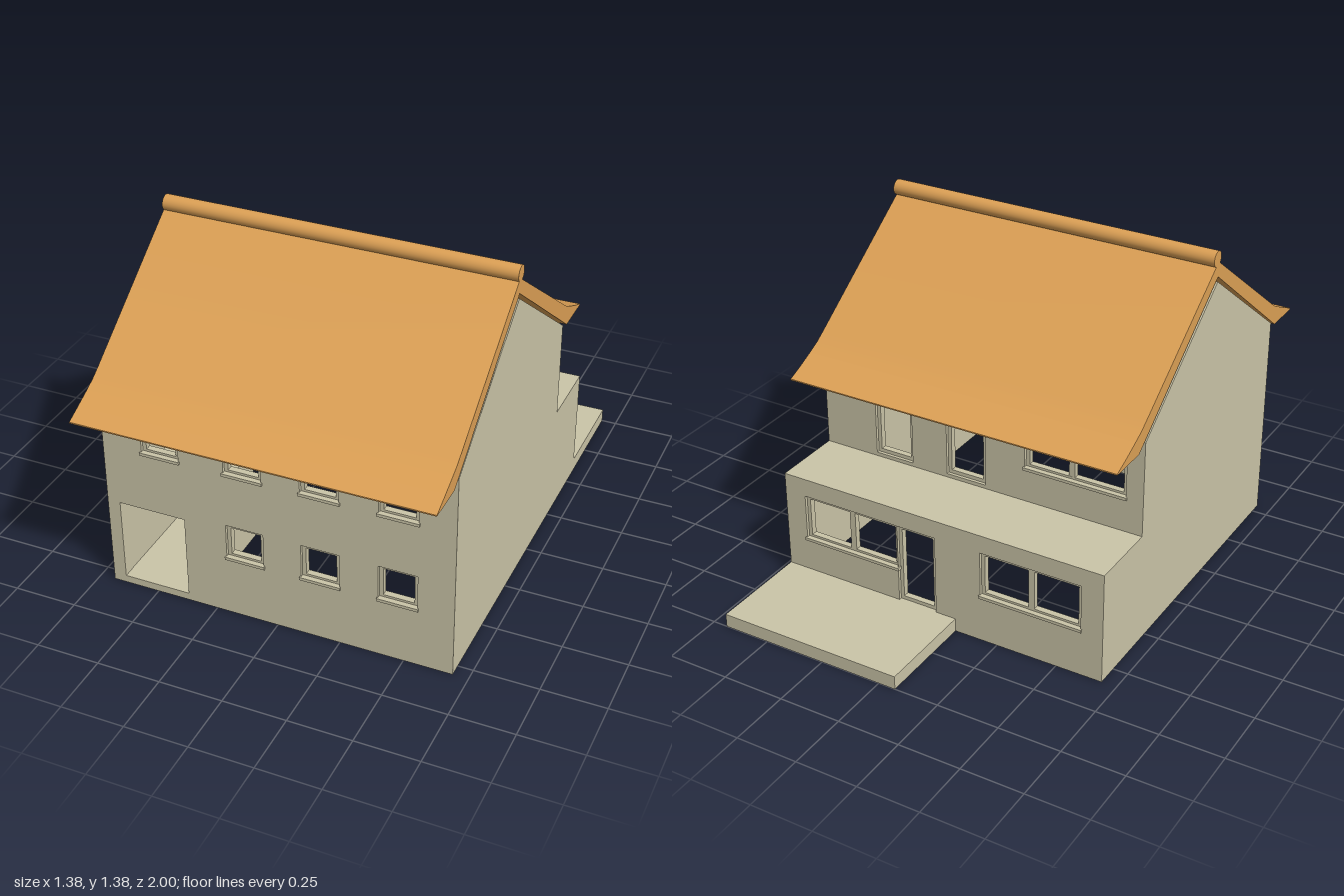
import * as THREE from 'three';
import { toCreasedNormals } from 'three/addons/utils/BufferGeometryUtils.js';

const T = 0.05;      // wall thickness
const HALF = 0.69;   // half width of the house

export function createModel() {
  const house = new THREE.Group();
  house.name = 'house';
  const plaster = new THREE.MeshStandardMaterial({ color: 0xcbc5a8 });
  plaster.name = 'beige plaster';
  const tile = new THREE.MeshStandardMaterial({ color: 0xdca055 });
  tile.name = 'orange roof';

  const add = (name, geometry, material = plaster) => {
    const mesh = new THREE.Mesh(geometry, material);
    mesh.name = name;
    house.add(mesh);
    return mesh;
  };

  // Box given by its minimum and maximum on each axis
  const box = (name, x0, x1, y0, y1, z0, z1) =>
    add(name, new THREE.BoxGeometry(x1 - x0, y1 - y0, z1 - z0)
      .translate((x0 + x1) / 2, (y0 + y1) / 2, (z0 + z1) / 2));

  const rect = (Type, x0, x1, y0, y1) => new Type([
    [x0, y0], [x1, y0], [x1, y1], [x0, y1],
  ].map(([x, y]) => new THREE.Vector2(x, y)));

  // Upright plate with rectangular holes, from z0 forward
  const plate = (name, bounds, holes, z0, depth) => {
    const shape = rect(THREE.Shape, ...bounds);
    shape.holes = holes.map((h) => rect(THREE.Path, ...h));
    return add(name, new THREE.ExtrudeGeometry(shape, { depth, bevelEnabled: false }).translate(0, 0, z0));
  };

  // Profile of [z, y] points extruded along x
  const sweep = (points, x0, x1) => {
    const shape = new THREE.Shape(points.map(([z, y]) => new THREE.Vector2(z, y)));
    return new THREE.ExtrudeGeometry(shape, { depth: x1 - x0, bevelEnabled: false })
      .rotateY(-Math.PI / 2).translate(x1, 0, 0);
  };

  // Frame, optional centre mullion and sill; zOut is the outer wall face, dir its facing
  const fitOpening = (name, [x0, x1, y0, y1], zOut, dir, { mullion, sill = true } = {}) => {
    const f = 0.015, mid = zOut - dir * 0.025;
    plate(name + 'Frame', [x0, x1, y0, y1], [[x0 + f, x1 - f, y0 + f, y1 - f]], mid - 0.0125, 0.025);
    if (mullion !== undefined) {
      box(name + 'Mullion', mullion - 0.012, mullion + 0.012, y0 + f, y1 - f, mid - 0.012, mid + 0.012);
    }
    if (sill) {
      const a = zOut - dir * 0.03, b = zOut + dir * 0.008;
      box(name + 'Sill', x0 - 0.005, x1 + 0.005, y0 - 0.006, y0 + 0.006, Math.min(a, b), Math.max(a, b));
    }
  };

  // Gable walls with the stepped back
  const gable = [[0.8, 0], [0.8, 0.85], [0.25, 1.25], [-0.3, 0.85], [-0.3, 0.46], [-0.59, 0.46], [-0.59, 0]];
  add('leftGableWall', sweep(gable, HALF - T, HALF));
  add('rightGableWall', sweep(gable, -HALF, -HALF + T));

  const inner = HALF - T;

  // Front wall: two rows of small windows and the porch opening
  const frontWindows = [];
  for (const x of [-0.53, -0.2, 0.1, 0.4]) {
    frontWindows.push([x, x + 0.15, 0.62, 0.765]);
    if (x > -0.5) frontWindows.push([x, x + 0.15, 0.25, 0.395]);
  }
  const porch = [-0.639, -0.37, 0.03, 0.37];
  plate('frontWall', [-inner, inner, 0, 0.86], [...frontWindows, porch], 0.8 - T, T);
  frontWindows.forEach((w) => fitOpening('frontWindow', w, 0.8, 1));

  // Recessed entrance porch
  box('porchFloor', -inner, -0.32, 0, 0.03, 0.34, 0.8 - T);
  box('porchCeiling', -inner, -0.32, 0.37, 0.4, 0.34, 0.8 - T);
  box('porchSideWall', -0.37, -0.32, 0.03, 0.37, 0.34, 0.8 - T);
  box('porchBackWall', -inner, -0.37, 0.03, 0.37, 0.34, 0.39);

  // Lower back wall: two wide windows and a terrace door
  const lowDoor = [0.015, 0.18, 0.055, 0.385];
  const lowWindows = [[-0.6, -0.18, 0.195, 0.385], [0.18, 0.6, 0.195, 0.385]];
  const doorAndWindow = [lowDoor, [0.181, 0.6, 0.195, 0.385]];
  plate('lowerBackWall', [-inner, inner, 0, 0.41], [lowWindows[0], ...doorAndWindow], -0.59, T);
  lowWindows.forEach((w) => fitOpening('lowerBackWindow', w, -0.59, -1, { mullion: (w[0] + w[1]) / 2 }));
  fitOpening('terraceDoor', lowDoor, -0.59, -1, { sill: false });

  // Balcony slab over the lower back rooms
  box('balcony', -inner, inner, 0.41, 0.46, -0.59, -0.3 + T);

  // Upper back wall: one wide window and two balcony doors
  const wide = [-0.62, -0.2, 0.6, 0.77];
  const upperDoors = [[-0.03, 0.14, 0.475, 0.77], [0.295, 0.46, 0.475, 0.77]];
  plate('upperBackWall', [-inner, inner, 0.46, 0.86], [wide, ...upperDoors], -0.3, T);
  fitOpening('upperBackWindow', wide, -0.3, -1, { mullion: -0.392 });
  upperDoors.forEach((d) => fitOpening('balconyDoor', d, -0.3, -1, { sill: false }));

  // Terrace
  box('terrace', -0.07, HALF, 0, 0.055, -1, -0.59);

  // Roof: straight slopes with flared eaves
  const roof = [
    [0.25, 1.33], [0.79, 0.94], [0.83, 0.913], [0.88, 0.888], [0.94, 0.86], [1.0, 0.833], [1.0, 0.828], [0.84, 0.828],
    [0.25, 1.27],
    [-0.35, 0.828], [-0.515, 0.828], [-0.515, 0.833], [-0.45, 0.86], [-0.39, 0.888], [-0.34, 0.913], [-0.3, 0.94],
  ];
  add('roof', toCreasedNormals(sweep(roof, -HALF, HALF), 0.5), tile);

  // Rounded ridge cap
  add('ridgeCap', new THREE.CylinderGeometry(0.031, 0.031, HALF * 2, 24)
    .rotateZ(Math.PI / 2).translate(0, 1.344, 0.24), tile);

  return house;
}
